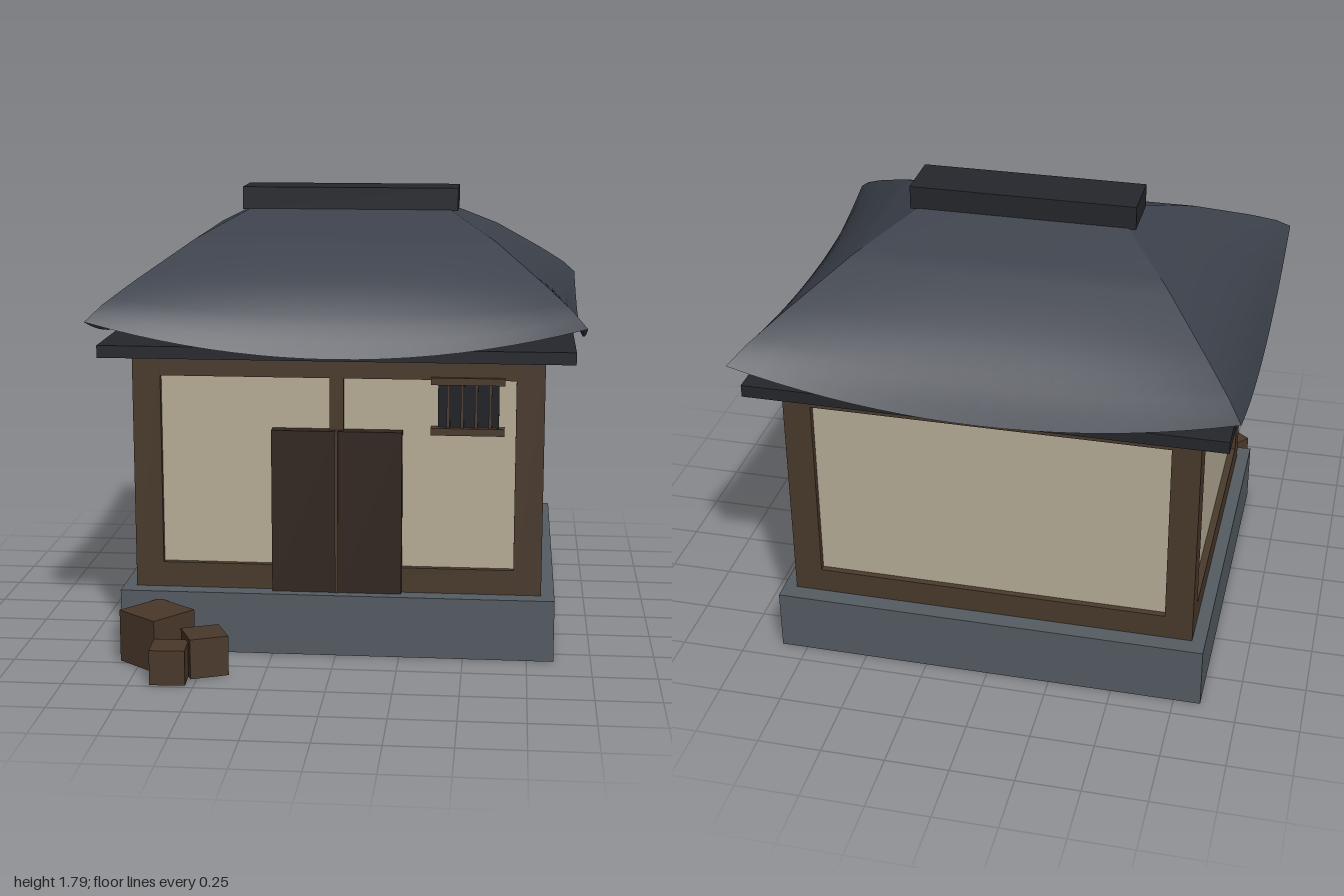
import * as THREE from 'three';

const mat = (color, side = THREE.FrontSide) => new THREE.MeshStandardMaterial({ color, side });
const wood = mat(0x4a3a2c), plaster = mat(0xb8ae98), stone = mat(0x555c63), dark = mat(0x25272c);
const doorWood = mat(0x32261f), crateWood = mat(0x4a382a), windowDark = mat(0x1c1e23);
const tile = mat(0x3c414b, THREE.DoubleSide);

const lerp = THREE.MathUtils.lerp;

// Box given by its min and max corners
function box(parent, name, material, [x0, y0, z0], [x1, y1, z1]) {
  const mesh = new THREE.Mesh(new THREE.BoxGeometry(x1 - x0, y1 - y0, z1 - z0), material);
  mesh.position.set((x0 + x1) / 2, (y0 + y1) / 2, (z0 + z1) / 2);
  mesh.name = name;
  parent.add(mesh);
  return mesh;
}

// Height of the hip line from the ridge (t = 0) to the corner (t = 1)
const hip = [[0, 1.7], [0.35, 1.6], [0.72, 1.46], [0.9, 1.385], [1, 1.33]];
function hipHeight(t) {
  const i = Math.max(1, hip.findIndex(p => p[0] >= t));
  const [a, b] = [hip[i - 1], hip[i]];
  return lerp(a[1], b[1], (t - a[0]) / (b[0] - a[0]));
}

// One roof slope: sagging eave in the middle, raised corners
function roofSlope(topWidth, eaveWidth, topDepth, eaveDepth) {
  const g = new THREE.PlaneGeometry(2, 1, 20, 20);
  const p = g.attributes.position;
  for (let i = 0; i < p.count; i++) {
    const u = p.getX(i);
    const t = THREE.MathUtils.clamp(0.5 - p.getY(i), 0, 1);
    const sag = 0.13 * (1 - u * u) * t ** 5;
    p.setXYZ(i, u * lerp(topWidth, eaveWidth, t), hipHeight(t) - sag, lerp(topDepth, eaveDepth, t));
  }
  g.computeVertexNormals();
  return g;
}

export function createModel() {
  const model = new THREE.Group();
  model.name = 'house';

  // Building, centred on its own axis and set back from the crates
  const house = new THREE.Group();
  house.name = 'building';
  house.position.z = -0.165;
  model.add(house);
  box(house, 'stoneBase', stone, [-0.855, 0, -0.755], [0.855, 0.245, 0.755]);
  box(house, 'plasterWalls', plaster, [-0.775, 0.24, -0.66], [0.775, 1.19, 0.66]);

  // Timber frame
  const X = 0.803, Z = 0.685, P = 0.11;
  for (const sx of [-1, 1]) for (const sz of [-1, 1]) {
    const post = box(house, 'cornerPost', wood, [0, 0.245, 0], [P, 1.19, P]);
    post.position.x = sx * (X - P / 2);
    post.position.z = sz * (Z - P / 2);
  }
  for (const [y0, y1, name] of [[0.245, 0.345, 'sillBeam'], [1.1, 1.19, 'topBeam']]) {
    for (const s of [-1, 1]) {
      const long = box(house, name, wood, [-X + P, y0, -0.05], [X - P, y1, 0.05]);
      long.position.z = s * (Z - 0.05);
      const side = box(house, name, wood, [-0.05, y0, -Z + P], [0.05, y1, Z - P]);
      side.position.x = s * (X - 0.05);
    }
  }
  box(house, 'frontPost', wood, [-0.028, 0.89, 0.6], [0.026, 1.1, Z]);

  // Double door
  box(house, 'leftDoor', doorWood, [0.004, 0.245, 0.64], [0.255, 0.895, 0.712]);
  box(house, 'rightDoor', doorWood, [-0.255, 0.245, 0.64], [-0.004, 0.895, 0.712]);
  box(house, 'doorStrip', wood, [-0.006, 0.245, 0.64], [0.006, 0.895, 0.718]);

  // Barred window
  box(house, 'windowPane', windowDark, [0.392, 0.9, 0.64], [0.628, 1.095, 0.678]);
  for (const y of [0.885, 1.083]) box(house, 'windowRail', wood, [0.365, y, 0.64], [0.65, y + 0.028, 0.703]);
  for (let i = 0; i < 4; i++) {
    const x = 0.432 + i * 0.054;
    box(house, 'windowBar', wood, [x - 0.006, 0.9, 0.67], [x + 0.006, 1.095, 0.69]);
  }

  // Eave slab, four curved roof slopes and ridge
  box(house, 'eaveSlab', dark, [-0.915, 1.187, -0.803], [0.915, 1.235, 0.803]);
  const roof = new THREE.Group();
  roof.name = 'roof';
  house.add(roof);
  for (let i = 0; i < 4; i++) {
    const g = i % 2 ? roofSlope(0.105, 0.835, 0.41, 0.953) : roofSlope(0.41, 0.953, 0.105, 0.835);
    const slope = new THREE.Mesh(g, tile);
    slope.name = 'roofSlope';
    slope.rotation.y = i * Math.PI / 2;
    roof.add(slope);
  }
  box(roof, 'ridge', dark, [-0.443, 1.695, -0.11], [0.443, 1.787, 0.11]);

  // Crates: x, z, size, height, turn
  for (const [x, z, s, h, turn] of [
    [-0.685, 0.72, 0.205, 0.21, -0.68], [-0.482, 0.823, 0.15, 0.16, 0.41], [-0.6, 0.927, 0.135, 0.14, 0.04],
  ]) {
    const crate = box(model, 'crate', crateWood, [-s / 2, 0.004, -s / 2], [s / 2, h, s / 2]);
    crate.position.x = x;
    crate.position.z = z;
    crate.rotation.y = turn;
  }
  return model;
}
